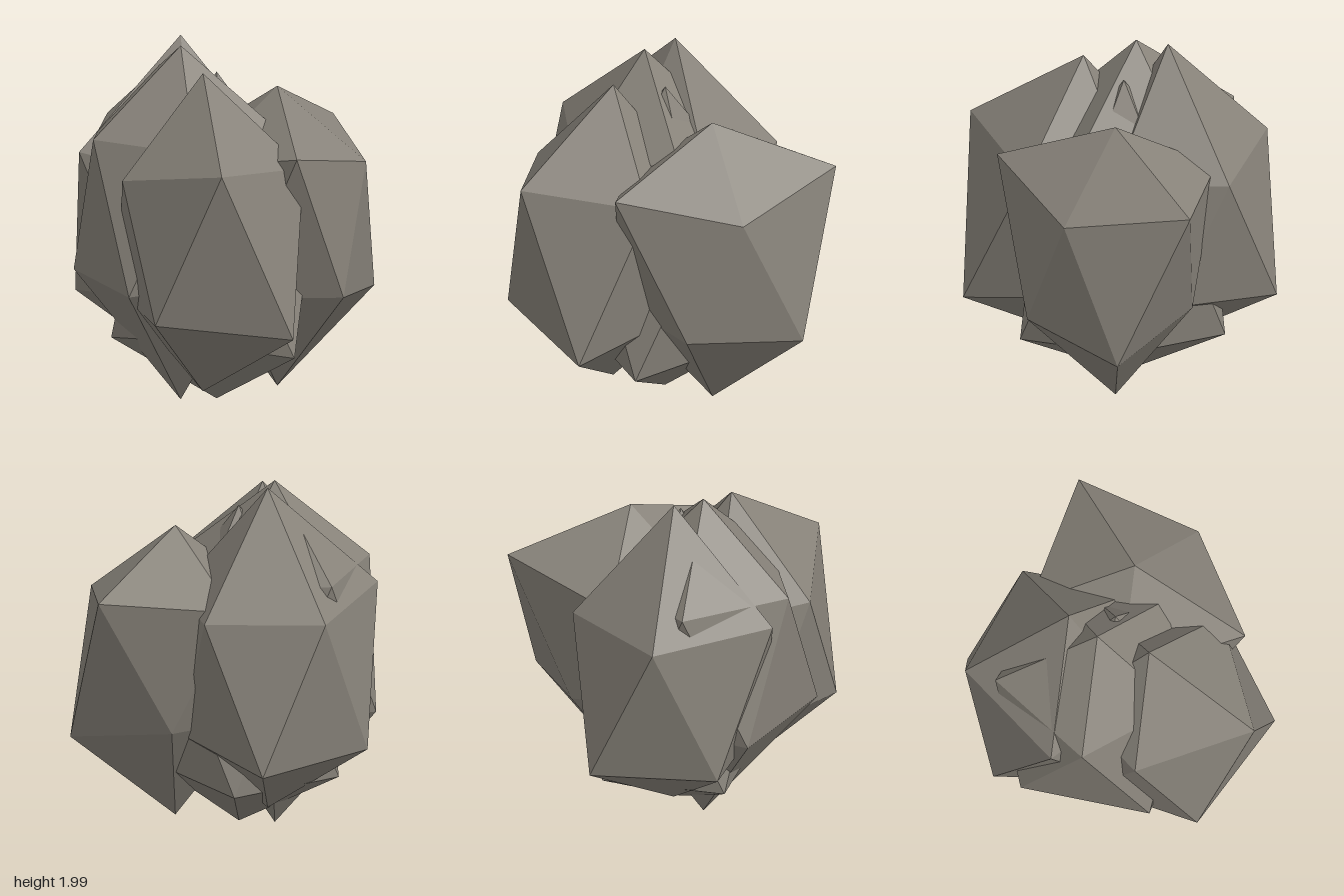
import * as THREE from 'three';

// Boulders: centre, then uneven radii for the top, upper ring, lower ring and bottom corners
const BOULDERS = [
  { name: 'leftBoulder', at: [0.31, 0.98, -0.21], top: 0.535, upper: [0.548, 0.755, 0.55, 0.65, 0.755], lower: [0.57, 0.55, 0.5, 0.49, 0.665], bottom: 0.657 },
  { name: 'frontBoulder', at: [-0.03, 0.98, 0.24], top: 0.643, upper: [0.62, 0.72, 0.553, 0.5, 0.5], lower: [0.776, 0.644, 0.52, 0.5, 0.55], bottom: 0.622 },
  { name: 'backBoulder', at: [-0.22, 0.97, -0.19], top: 0.736, upper: [0.6, 0.48, 0.696, 0.64, 0.62], lower: [0.55, 0.55, 0.65, 0.693, 0.55], bottom: 0.58 },
  { name: 'middleBoulder', at: [-0.19, 1.13, 0], top: 0.607, upper: [0.615, 0.55, 0.6, 0.63, 0.55], lower: [0.6, 0.7, 0.66, 0.58, 0.55], bottom: 0.8 },
  { name: 'baseBoulder', at: [0, 0.74, -0.05], top: 0.78, upper: [0.6, 0.55, 0.55, 0.55, 0.6], lower: [0.67, 0.52, 0.65, 0.645, 0.55], bottom: 0.52 },
];
const STRETCH = 1.4; // boulders are taller than wide

// Twenty-sided boulder: two tips and two staggered rings of five corners
function boulderGeometry({ top, upper, lower, bottom }) {
  const h = 1 / Math.sqrt(5), w = 2 / Math.sqrt(5);
  const points = [0, top * STRETCH, 0];
  const addRing = (radii, level, offset) => radii.forEach((r, i) => {
    const a = (i + offset) * Math.PI * 0.4;
    points.push(r * w * Math.cos(a), r * level * STRETCH, r * w * Math.sin(a));
  });
  addRing(upper, h, 0);
  addRing(lower, -h, 0.5);
  points.push(0, -bottom * STRETCH, 0);

  const faces = [];
  for (let i = 0; i < 5; i++) {
    const n = (i + 1) % 5;
    const u = 1 + i, u2 = 1 + n, l = 6 + i, l2 = 6 + n;
    faces.push(0, u2, u, u, u2, l, l, u2, l2, l, l2, 11);
  }
  const indexed = new THREE.BufferGeometry();
  indexed.setAttribute('position', new THREE.Float32BufferAttribute(points, 3));
  indexed.setIndex(faces);
  const geometry = indexed.toNonIndexed();
  geometry.computeVertexNormals();
  return geometry;
}

export function createModel() {
  const group = new THREE.Group();
  group.name = 'rockCluster';
  const stone = new THREE.MeshStandardMaterial({ color: 0x88837a });
  stone.name = 'stone';
  stone.flatShading = true;
  for (const boulder of BOULDERS) {
    const mesh = new THREE.Mesh(boulderGeometry(boulder), stone);
    mesh.name = boulder.name;
    mesh.position.set(...boulder.at);
    group.add(mesh);
  }
  return group;
}
